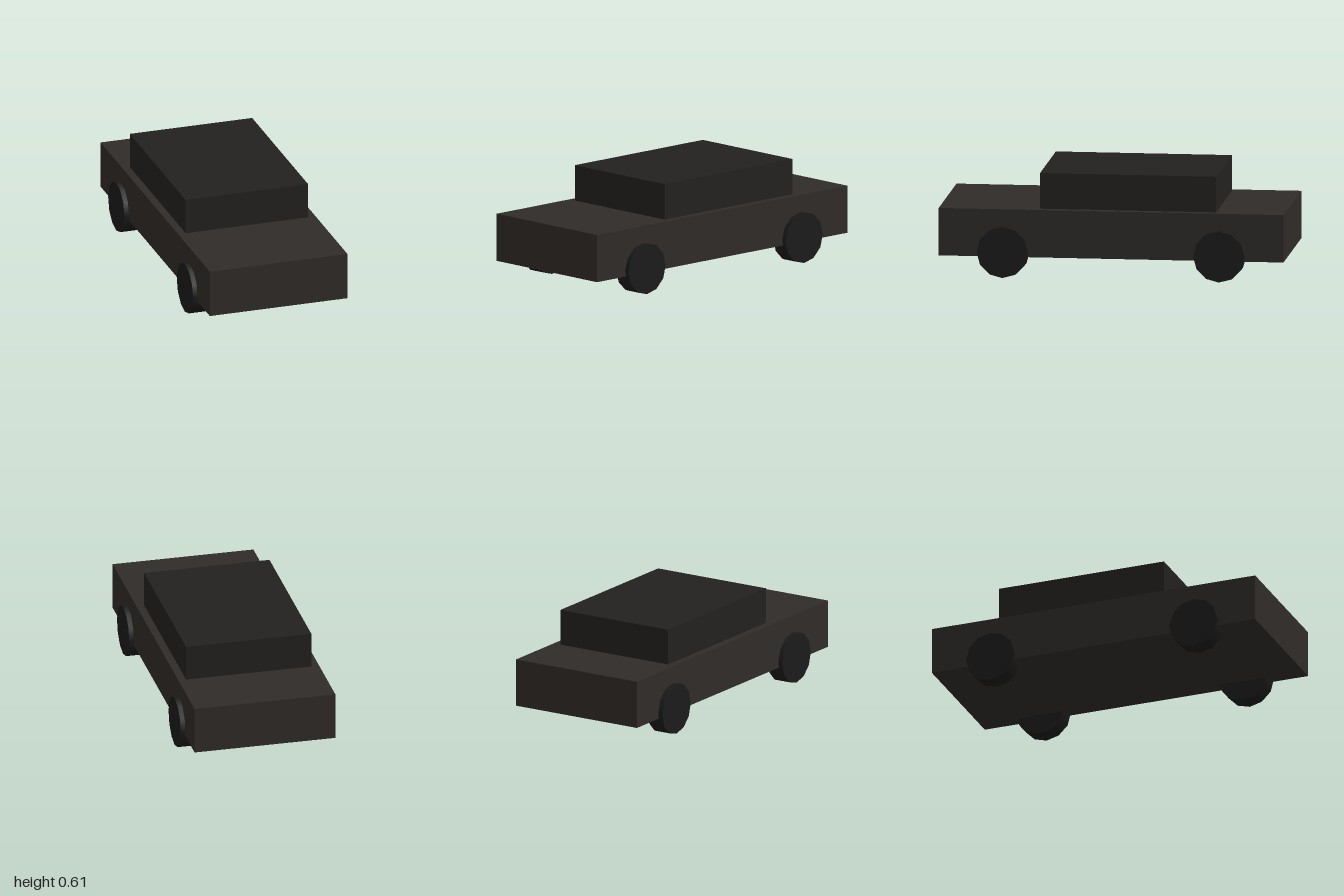
import * as THREE from 'three';

const paint = (color) => new THREE.MeshStandardMaterial({ color });

// Axis-aligned block given by its minimum and maximum corners
function block(name, min, max, material) {
  const size = max.map((v, i) => v - min[i]);
  const mesh = new THREE.Mesh(new THREE.BoxGeometry(...size), material);
  mesh.position.set(...max.map((v, i) => (v + min[i]) / 2));
  mesh.name = name;
  return mesh;
}

export function createModel() {
  const car = new THREE.Group();
  car.name = 'car';

  // Lower body and the cabin set slightly back on top of it
  car.add(block('body', [-0.417, 0.12, -1], [0.417, 0.397, 1], paint(0x2f2b28)));
  car.add(block('cabin', [-0.371, 0.397, -0.604], [0.371, 0.605, 0.418], paint(0x23211f)));

  // Four twelve-sided wheels, axles along x
  const radius = 0.149;
  const wheelGeometry = new THREE.CylinderGeometry(radius, radius, 0.102, 12).rotateZ(Math.PI / 2);
  const rubber = paint(0x1b1b1b);
  for (const [end, z] of [['front', 0.628], ['back', -0.628]]) {
    for (const [side, x] of [['Left', 0.394], ['Right', -0.394]]) {
      const wheel = new THREE.Mesh(wheelGeometry, rubber);
      wheel.name = `${end}${side}Wheel`;
      wheel.position.set(x, radius, z);
      car.add(wheel);
    }
  }
  return car;
}
